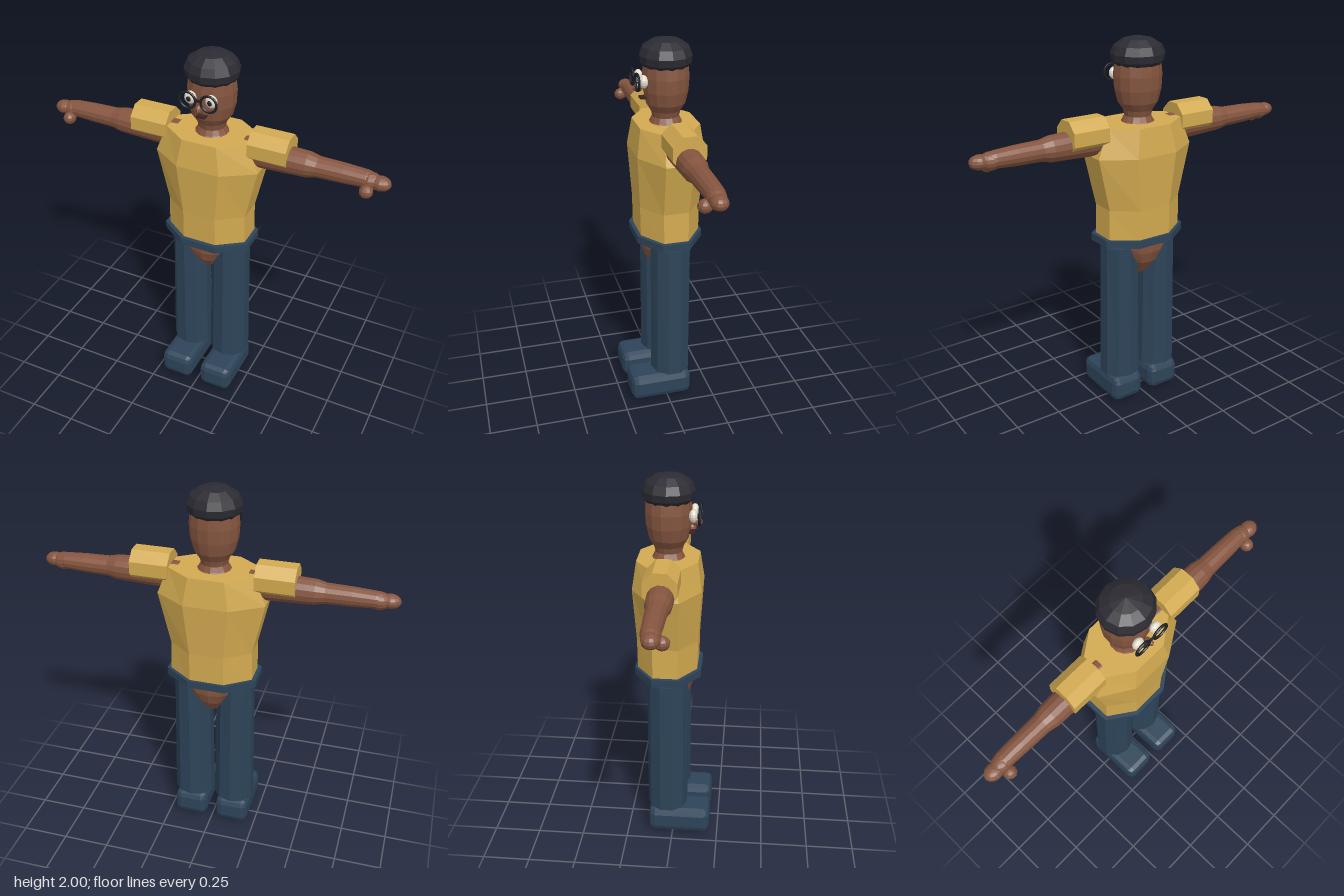
import * as THREE from 'three';
import { RoundedBoxGeometry } from 'three/addons/geometries/RoundedBoxGeometry.js';

const mat = (name, color) => {
  const m = new THREE.MeshStandardMaterial({ color, flatShading: true });
  m.name = name;
  return m;
};

// Stacked cross-sections: each row is [y, radiusX, radiusZ]
function loft(rows, sides) {
  const turn = sides === 8 ? Math.PI / 8 : 0;
  const g = new THREE.LatheGeometry(rows.map(r => new THREE.Vector2(1, r[0])), sides, turn);
  const p = g.attributes.position;
  for (let k = 0; k < p.count; k++) {
    const [, rx, rz] = rows[k % rows.length];
    p.setX(k, p.getX(k) * rx);
    p.setZ(k, p.getZ(k) * rz);
  }
  g.computeVertexNormals();
  return g;
}

export function createModel() {
  const model = new THREE.Group();
  const skin = mat('skin brown', 0x85553f);
  const shirt = mat('shirt yellow', 0xd2aa50);
  const denim = mat('trouser blue', 0x2d4459);
  const hairMat = mat('hair black', 0x2c2b33);
  const frame = mat('glasses black', 0x1c1f26);
  const white = mat('eye cream', 0xe4dece);
  const lip = mat('mouth dark brown', 0x3a2420);

  const add = (name, geo, material, x = 0, y = 0, z = 0) => {
    const m = new THREE.Mesh(geo, material);
    m.name = name;
    m.position.set(x, y, z);
    model.add(m);
    return m;
  };
  const ball = (rx, ry, rz, w = 12, h = 8) => new THREE.SphereGeometry(1, w, h).scale(rx, ry, rz);
  const Z = -0.033; // body centre line

  // Shirt body and belt, stretched octagons
  add('shirtBody', loft([
    [0.957, 0, 0], [0.957, 0.238, 0.168], [1.15, 0.234, 0.172],
    [1.43, 0.302, 0.19], [1.575, 0.24, 0.167], [1.575, 0, 0],
  ], 8), shirt, 0, 0, Z);
  add('belt', loft([
    [0.95, 0.242, 0.172], [0.95, 0.26, 0.187], [0.99, 0.26, 0.187], [0.99, 0.23, 0.165],
    [0.95, 0.242, 0.172],
  ], 8), denim, 0, 0, Z + 0.003);

  // Pelvis
  add('pelvis', loft([
    [0.72, 0, 0], [0.76, 0.045, 0.06], [0.83, 0.1, 0.115],
    [0.89, 0.15, 0.135], [0.96, 0.205, 0.138],
  ], 14), skin, 0, 0, Z);

  // Head with neck, and hair cap
  add('head', loft([
    [1.56, 0.1, 0.095], [1.58, 0.082, 0.08], [1.605, 0.068, 0.068], [1.635, 0.076, 0.076],
    [1.675, 0.104, 0.1], [1.74, 0.121, 0.114], [1.81, 0.125, 0.118],
    [1.87, 0.118, 0.114], [1.93, 0.08, 0.08], [1.95, 0, 0],
  ], 14), skin, 0, 0, Z);
  add('hair', loft([
    [1.865, 0, 0], [1.858, 0.115, 0.112], [1.88, 0.133, 0.129], [1.915, 0.139, 0.133],
    [1.955, 0.121, 0.117], [1.985, 0.075, 0.073], [2, 0, 0],
  ], 12), hairMat, 0, 0, Z);

  // Face
  add('nose', ball(0.016, 0.022, 0.028, 8, 6), skin, 0, 1.757, 0.108);
  add('mouth', new THREE.BoxGeometry(0.045, 0.01, 0.03), lip, 0, 1.706, 0.085);
  add('glassesBridge', new THREE.BoxGeometry(0.03, 0.01, 0.01), frame, 0, 1.806, 0.124);

  for (const s of [1, -1]) {
    const side = s > 0 ? 'left' : 'right';

    // Eyes and glasses
    add(side + 'Eye', ball(0.031, 0.033, 0.022), white, s * 0.055, 1.8, 0.093);
    add(side + 'Pupil', ball(0.012, 0.014, 0.006, 10, 6), frame, s * 0.055, 1.8, 0.114);
    add(side + 'GlassesRim', new THREE.TorusGeometry(0.041, 0.0065, 6, 20), frame, s * 0.055, 1.8, 0.124);

    // Arm, running outward along x
    const arm = loft([
      [0.17, 0.07, 0.07], [0.28, 0.074, 0.07], [0.45, 0.067, 0.066], [0.5, 0.065, 0.064],
      [0.55, 0.053, 0.053], [0.68, 0.05, 0.05], [0.79, 0.043, 0.046], [0.82, 0.036, 0.038],
    ], 14).rotateZ(-s * Math.PI / 2);
    add(side + 'Arm', arm, skin, s * 0.01, 1.51, Z);

    // Fist and thumb
    add(side + 'Palm', ball(0.058, 0.045, 0.047), skin, s * 0.815, 1.505, Z + 0.003);
    add(side + 'Fingers', ball(0.052, 0.036, 0.042), skin, s * 0.868, 1.507, Z + 0.008);
    add(side + 'Thumb', ball(0.034, 0.033, 0.036, 10, 8), skin, s * 0.815, 1.472, 0.018);

    // Sleeve, an octagonal tube
    const sleeve = new THREE.CylinderGeometry(0.09, 0.09, 0.2, 8).rotateY(Math.PI / 8).rotateZ(Math.PI / 2);
    add(side + 'Sleeve', sleeve, shirt, s * 0.32, 1.552, Z - 0.002);

    // Trouser leg with ankle showing below
    add(side + 'TrouserLeg', loft([
      [0.17, 0, 0], [0.17, 0.112, 0.108], [0.93, 0.1, 0.108], [0.93, 0, 0],
    ], 10), denim, s * 0.116, 0, -0.03);
    add(side + 'Ankle', new THREE.CylinderGeometry(0.07, 0.07, 0.1, 12), skin, s * 0.116, 0.15, -0.03);

    // Shoe with chamfered edges, foot showing through the sole
    add(side + 'Shoe', new RoundedBoxGeometry(0.185, 0.142, 0.337, 1, 0.035), denim, s * 0.12, 0.087, 0.037);
    add(side + 'FootSole', ball(0.07, 0.05, 0.12, 14, 10), skin, s * 0.12, 0.05, 0.035);
  }
  return model;
}
